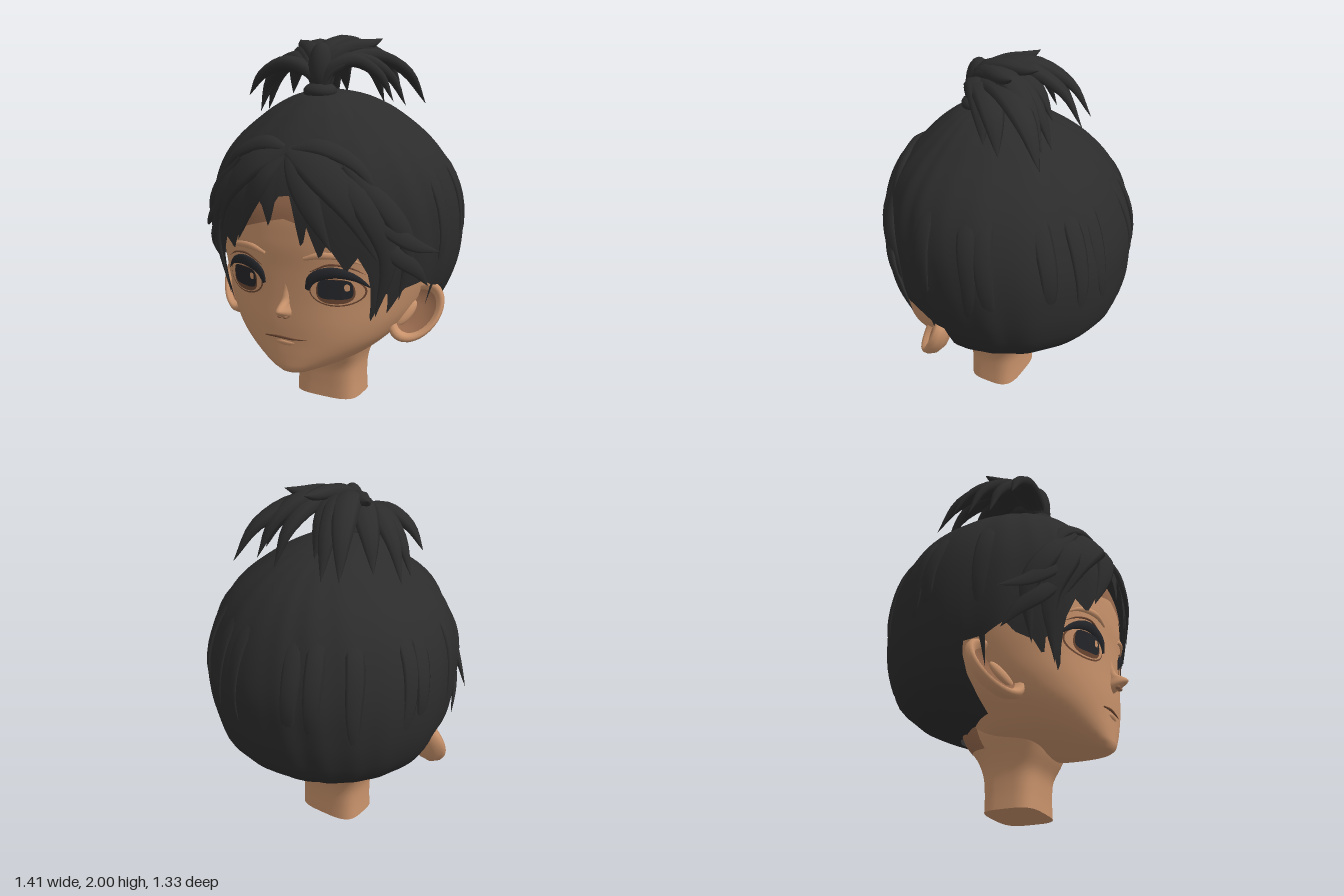
import * as THREE from 'three';

const mat = (name, color, side = THREE.FrontSide) => {
  const m = new THREE.MeshStandardMaterial({ color, side });
  m.name = name;
  return m;
};

// Horizontal sections: [y, half width, back z, front z], low to high
const HEAD = [[0.262, 0.002, 0.424, 0.428], [0.275, 0.07, 0.26, 0.53], [0.3, 0.15, 0.1, 0.572], [0.35, 0.275, -0.08, 0.58],
  [0.45, 0.41, -0.18, 0.583], [0.55, 0.49, -0.33, 0.588], [0.7, 0.56, -0.5, 0.588], [0.85, 0.6, -0.56, 0.592],
  [1, 0.62, -0.57, 0.6], [1.2, 0.59, -0.5, 0.58], [1.4, 0.47, -0.33, 0.46], [1.55, 0.25, -0.12, 0.28]];
const HAIR = [[0.38, 0.3, -0.18, 0.25], [0.43, 0.39, -0.28, 0.42], [0.5, 0.5, -0.46, 0.55], [0.6, 0.59, -0.585, 0.6],
  [0.75, 0.655, -0.64, 0.615], [0.9, 0.685, -0.655, 0.63], [1.05, 0.69, -0.652, 0.645], [1.2, 0.67, -0.615, 0.645],
  [1.35, 0.61, -0.55, 0.605], [1.45, 0.535, -0.485, 0.55], [1.55, 0.42, -0.39, 0.47], [1.65, 0.27, -0.235, 0.36],
  [1.7, 0.15, -0.09, 0.28], [1.73, 0.02, 0.1, 0.17]];
const NECK = [[0, 0.19, -0.09, 0.2], [0.1, 0.185, -0.09, 0.2], [0.2, 0.19, -0.1, 0.21], [0.28, 0.215, -0.13, 0.25],
  [0.36, 0.25, -0.185, 0.28], [0.46, 0.27, -0.22, 0.3]];
const NOSE = [[0.585, 0.008, 0.55, 0.58], [0.605, 0.03, 0.53, 0.612], [0.63, 0.036, 0.53, 0.655], [0.648, 0.032, 0.53, 0.674],
  [0.665, 0.026, 0.53, 0.66], [0.69, 0.024, 0.54, 0.618], [0.73, 0.025, 0.54, 0.598], [0.79, 0.02, 0.54, 0.588]];

// Hairline: [degrees from the front, lower edge y], running right to left
const EDGE = [[-180, 0.43], [-140, 0.39], [-110, 0.4], [-91, 0.43], [-86, 0.72], [-75, 0.74], [-66, 0.8], [-62, 0.75],
  [-54, 0.72], [-50, 0.64], [-47, 0.78], [-43, 0.56], [-38, 0.85], [-33, 0.97], [-26, 0.92], [-20, 1.05], [-10, 1.22],
  [-7, 1.18], [-4, 1.07], [-1, 1.24], [5, 1.25], [9.5, 0.97], [12, 1.1], [17, 0.93], [20, 1.02], [28, 0.87], [33, 0.95],
  [38, 0.85], [43, 0.57], [47, 0.78], [51, 0.63], [56, 0.76], [66, 0.79], [75, 0.74], [86, 0.72], [91, 0.43], [110, 0.4],
  [140, 0.39], [180, 0.43]];

// Smooth lookup of half width, centre and half depth at any height
function sections(rows) {
  const f = new THREE.CubicInterpolant(rows.map(r => r[0]), rows.flatMap(r => r.slice(1)), 3);
  const lo = rows[0][0], hi = rows[rows.length - 1][0];
  return y => {
    const [w, b, fr] = f.evaluate(THREE.MathUtils.clamp(y, lo, hi));
    return { w: Math.max(w, 0.001), c: (b + fr) / 2, d: Math.max((fr - b) / 2, 0.001) };
  };
}
const headAt = sections(HEAD), hairAt = sections(HAIR), neckAt = sections(NECK), noseAt = sections(NOSE);
const pow = (v, e) => Math.sign(v) * Math.abs(v) ** e;
function ringPoint(at, n, a, y, k = 1) {
  const s = at(y);
  return new THREE.Vector3(k * s.w * pow(Math.sin(a), 2 / n), y, s.c + k * s.d * pow(Math.cos(a), 2 / n));
}

// Surface through a stack of closed rings of n points
function skinRings(points, n) {
  const idx = [], rings = points.length / n - 1;
  for (let j = 0; j < rings; j++) for (let i = 0; i < n; i++) {
    const a = j * n + i, b = j * n + (i + 1) % n;
    idx.push(a, b, b + n, a, b + n, a + n);
  }
  const g = new THREE.BufferGeometry().setFromPoints(points);
  g.setIndex(idx);
  g.computeVertexNormals();
  return g;
}
function loft(point, low, high, cols, rows, ease = 1) {
  const pts = [];
  for (let j = 0; j <= rows; j++) for (let i = 0; i < cols; i++) {
    const a = (i / cols) * 2 * Math.PI - Math.PI, t = (1 - j / rows) ** ease;
    pts.push(point(a, high - (high - low(a)) * t));
  }
  return skinRings(pts, cols);
}

// Tapered flat strand along a curve, flat side facing away from ref
function strand(points, width, thick, ref, root = 0.5, taper = 1.7) {
  const curve = new THREE.CatmullRomCurve3(points), pts = [], n = 8, seg = 16;
  for (let j = 0; j <= seg; j++) {
    const t = j / seg, p = curve.getPoint(t), T = curve.getTangent(t);
    const out = p.clone().sub(ref), N = out.clone().addScaledVector(T, -out.dot(T)).normalize();
    const B = new THREE.Vector3().crossVectors(N, T);
    const k = t < 0.4 ? root + (1 - root) * Math.sin(t / 0.4 * Math.PI / 2) : Math.max(0.01, 1 - ((t - 0.4) / 0.6) ** taper);
    for (let i = 0; i < n; i++) {
      const a = i / n * 2 * Math.PI;
      pts.push(p.clone().addScaledVector(B, Math.cos(a) * width * k).addScaledVector(N, Math.sin(a) * thick * k));
    }
  }
  return skinRings(pts, n);
}

// Point on the front of the face
function facePoint(x, y, off = 0) {
  const s = headAt(y), n = 2.3;
  return new THREE.Vector3(x, y, s.c + s.d * (1 - Math.min(1, Math.abs(x / s.w)) ** n) ** (1 / n) + off);
}
// Thin rounded patch laid on the face; n above 2 makes it squarer
function facePatch(x, y, rx, ry, off, n = 2) {
  const pts = [], N = 32, R = 6;
  for (let j = 0; j <= R; j++) for (let i = 0; i < N; i++) {
    const a = i / N * 2 * Math.PI, k = 1 - j / R;
    pts.push(facePoint(x + k * rx * pow(Math.cos(a), 2 / n), y + k * ry * pow(Math.sin(a), 2 / n), off));
  }
  return skinRings(pts, N);
}

export function createModel() {
  const model = new THREE.Group();
  const hair = mat('hair black', 0x2c2c2d, THREE.DoubleSide);
  const skin = mat('skin', 0xc8926b), shade = mat('deep skin', 0x95684c);
  const dark = mat('eye black', 0x25262a), brown = mat('eye brown', 0x6b4632);
  const add = (name, geo, m, parent = model) => {
    const mesh = new THREE.Mesh(geo, m);
    mesh.name = name;
    parent.add(mesh);
    return mesh;
  };
  const V = (x, y, z) => new THREE.Vector3(x, y, z);
  const middle = V(0, 0.9, 0);

  // Head and neck
  const headPoint = (a, y) => ringPoint(headAt, 2.3, a, y);
  add('face', loft(headPoint, () => 0.262, 1.55, 96, 64, 1.2), skin);
  const browLine = a => 1.12 - 0.12 * Math.min(1, Math.abs(a) / 0.6);
  add('upperForehead', loft((a, y) => ringPoint(headAt, 2.3, a, y, 1.006), browLine, 1.55, 96, 16), shade);
  const neckPoint = (a, y) => ringPoint(neckAt, 3.6, a, y);
  add('neck', loft(neckPoint, () => 0, 0.46, 48, 18), skin);
  add('nape', loft((a, y) => ringPoint(neckAt, 3.6, a, y, Math.cos(a) < -0.2 ? 1.012 : 0.96), () => 0.31, 0.46, 48, 8), shade);
  const base = [];
  for (let i = 0; i < 48; i++) {
    const p = neckPoint(i / 24 * Math.PI, 0);
    base.push(new THREE.Vector2(p.x, p.z));
  }
  add('neckBase', new THREE.ShapeGeometry(new THREE.Shape(base)).rotateX(Math.PI / 2), skin);

  // Nose and mouth
  add('nose', loft((a, y) => ringPoint(noseAt, 2, a, y), () => 0.585, 0.79, 24, 24), skin);
  for (const s of [-1, 1]) {
    const nostril = add('nostril', new THREE.SphereGeometry(1, 10, 8).scale(0.013, 0.011, 0.014), shade);
    nostril.position.set(s * 0.016, 0.613, 0.62);
  }
  const line = (pts, off, s = 1) => pts.map(([x, y]) => facePoint(s * x, y, off));
  add('mouth', strand(line([[-0.13, 0.478], [-0.05, 0.484], [0.04, 0.482], [0.12, 0.486]], 0), 0.008, 0.006, middle), brown);
  add('lowerLip', strand(line([[-0.08, 0.457], [0, 0.453], [0.08, 0.457]], -0.006), 0.02, 0.012, middle, 0.1), skin);

  for (const s of [-1, 1]) {
    // Eyes
    const eye = new THREE.Group();
    eye.name = s > 0 ? 'leftEye' : 'rightEye';
    model.add(eye);
    add('eyeOutline', facePatch(s * 0.27, 0.765, 0.135, 0.082, 0.002), brown, eye);
    add('eyeball', facePatch(s * 0.27, 0.765, 0.127, 0.074, 0.004), skin, eye);
    add('iris', facePatch(s * 0.265, 0.764, 0.092, 0.066, 0.006, 2.6), brown, eye);
    add('pupil', facePatch(s * 0.265, 0.775, 0.084, 0.052, 0.008, 4), dark, eye);
    add('eyeGlint', facePatch(s * 0.265 + 0.058, 0.787, 0.013, 0.018, 0.0095, 3), skin, eye);
    add('upperLash', strand(line([[0.125, 0.765], [0.155, 0.825], [0.25, 0.862], [0.35, 0.84], [0.43, 0.77]], 0.003, s),
      0.032, 0.013, middle, 0.35), dark, eye);
    add('eyelidFold', strand(line([[0.14, 0.86], [0.24, 0.903], [0.34, 0.888], [0.41, 0.845]], 0, s), 0.006, 0.005, middle, 0.3), brown, eye);
    add('brow', strand(line([[0.11, 0.925], [0.2, 0.95], [0.32, 0.94], [0.4, 0.9]], 0, s), 0.018, 0.014, middle), skin, eye);

    // Dished ears
    const ear = new THREE.Group();
    ear.name = s > 0 ? 'leftEar' : 'rightEar';
    const dish = pts => new THREE.LatheGeometry(pts.map(p => new THREE.Vector2(...p)), 32).rotateX(Math.PI / 2).scale(0.125, 0.185, 1);
    add('earShell', dish([[0, -0.08], [0.5, -0.07], [0.85, -0.04], [1, 0], [0.98, 0.025], [0.9, 0.038], [0.8, 0.03], [0.7, 0.008]]), skin, ear);
    add('earBowl', dish([[0.7, 0.008], [0.5, -0.015], [0.25, -0.022], [0, -0.022]]), shade, ear);
    const fold = add('earFold', new THREE.SphereGeometry(1, 16, 12).scale(0.035, 0.085, 0.025), skin, ear);
    fold.position.set(-s * 0.035, -0.04, -0.01);
    ear.position.set(s * 0.548, 0.585, 0.165);
    ear.rotation.set(-0.42, s * 0.45, -s * 0.5);
    model.add(ear);
  }

  // Scalp hair with combed ridges and a jagged fringe
  const edge = a => {
    const d = THREE.MathUtils.radToDeg(a);
    const i = Math.max(1, EDGE.findIndex(e => e[0] >= d - 1e-6)), [d0, y0] = EDGE[i - 1], [d1, y1] = EDGE[i];
    return y0 + (y1 - y0) * (d - d0) / (d1 - d0);
  };
  const hairPoint = (a, y, lift = 0) => {
    const w = a + 0.12 * Math.sin(3 * a + 2 * y);
    const ridge = 0.006 * Math.abs(Math.sin(7 * w + y)) + 0.005 * Math.sin(19 * w + 1.5 * y) - 0.003;
    return ringPoint(hairAt, 2.06, a, y, 1 + ridge + lift);
  };
  add('scalpHair', loft(hairPoint, edge, 1.73, 240, 40, 1.6), hair);

  // Locks lying on the scalp: [[degrees, y, lift]...], width, thickness
  const lock = (name, path, w, h) => add(name, strand(path.map(([d, y, l = 0.005]) =>
    hairPoint(THREE.MathUtils.degToRad(d), y, l)), w, h, middle, 0.35), hair);
  for (const s of [-1, 1]) {
    lock('fringeCrest', [[s * 2, 1.47], [s * 18, 1.48], [s * 36, 1.4], [s * 48, 1.2]], 0.05, 0.024);
    lock('fringeSweep', [[s, 1.46], [s * 18, 1.38], [s * 32, 1.2], [s * 42, 0.92]], 0.1, 0.026);
    lock('fringeInner', [[s, 1.44], [s * 9, 1.33], [s * 15, 1.18], [s * 22, 0.98]], 0.07, 0.025);
    lock('templeLock', [[s * 22, 1.42], [s * 38, 1.2], [s * 46, 0.95], [s * 45, 0.62]], 0.07, 0.025);
    lock('sideLock', [[s * 30, 1.4], [s * 48, 1.18], [s * 56, 0.98], [s * 55, 0.7]], 0.06, 0.026);
    lock('sideWisp', [[s * 34, 1.2], [s * 48, 1.08, 0.02], [s * 58, 1, 0.05], [s * 69, 0.95, 0.09]], 0.045, 0.016);
    lock('lowerWisp', [[s * 38, 1.08], [s * 50, 0.95, 0.02], [s * 60, 0.86, 0.03], [s * 68, 0.76, 0.04]], 0.045, 0.016);
  }
  // Long combed strands round the sides and back
  for (let i = 0; i < 12; i++) {
    const d = 78 + i * 18.5, turn = 6 * Math.sin(i * 2.3), low = 0.62 + 0.12 * Math.sin(i * 1.7);
    lock('combedStrand', [[d, 1.6, -0.03], [d + turn, 1.3, -0.004], [d + turn, 1, -0.002], [d, low, -0.004]], 0.05, 0.012);
  }

  // Tied ponytail: arching locks, [tip x, y, z, arch height, width]
  const tie = add('hairTie', new THREE.SphereGeometry(1, 24, 14).scale(0.09, 0.05, 0.085), hair);
  tie.position.set(0, 1.72, 0.2);
  const root = add('ponytailBase', new THREE.SphereGeometry(1, 20, 14).scale(0.07, 0.14, 0.075), hair);
  root.position.set(0, 1.83, 0.185);
  const tips = [[-0.46, 1.58, -0.04, 1.88, 0.065], [-0.44, 1.58, 0.08, 1.86, 0.06], [-0.43, 1.68, 0.21, 1.86, 0.055],
    [-0.38, 1.66, -0.18, 1.91, 0.075], [-0.28, 1.64, -0.33, 1.94, 0.075], [-0.17, 1.62, -0.33, 1.93, 0.07],
    [-0.05, 1.68, -0.22, 1.93, 0.08], [0.14, 1.62, -0.31, 1.92, 0.07], [0.25, 1.65, -0.31, 1.94, 0.075],
    [0.37, 1.62, -0.36, 1.9, 0.085], [0.35, 1.63, -0.12, 1.88, 0.085], [0.32, 1.66, -0.02, 1.88, 0.075],
    [0.21, 1.98, -0.12, 1.94, 0.05], [-0.25, 1.97, -0.04, 1.93, 0.05], [0.04, 1.98, -0.18, 1.96, 0.06]];
  for (const [x, y, z, top, w] of tips) {
    const at = (k, h) => V(x * k, h, 0.2 + (z - 0.2) * k);
    add('ponytailLock', strand([V(0, 1.74, 0.2), at(0.1, top - 0.05), at(0.45, top), at(0.8, y + (top - y) * 0.65), V(x, y, z)],
      w, 0.04, at(0.6, 1.55), 0.7, 2.1), hair);
  }
  return model;
}
